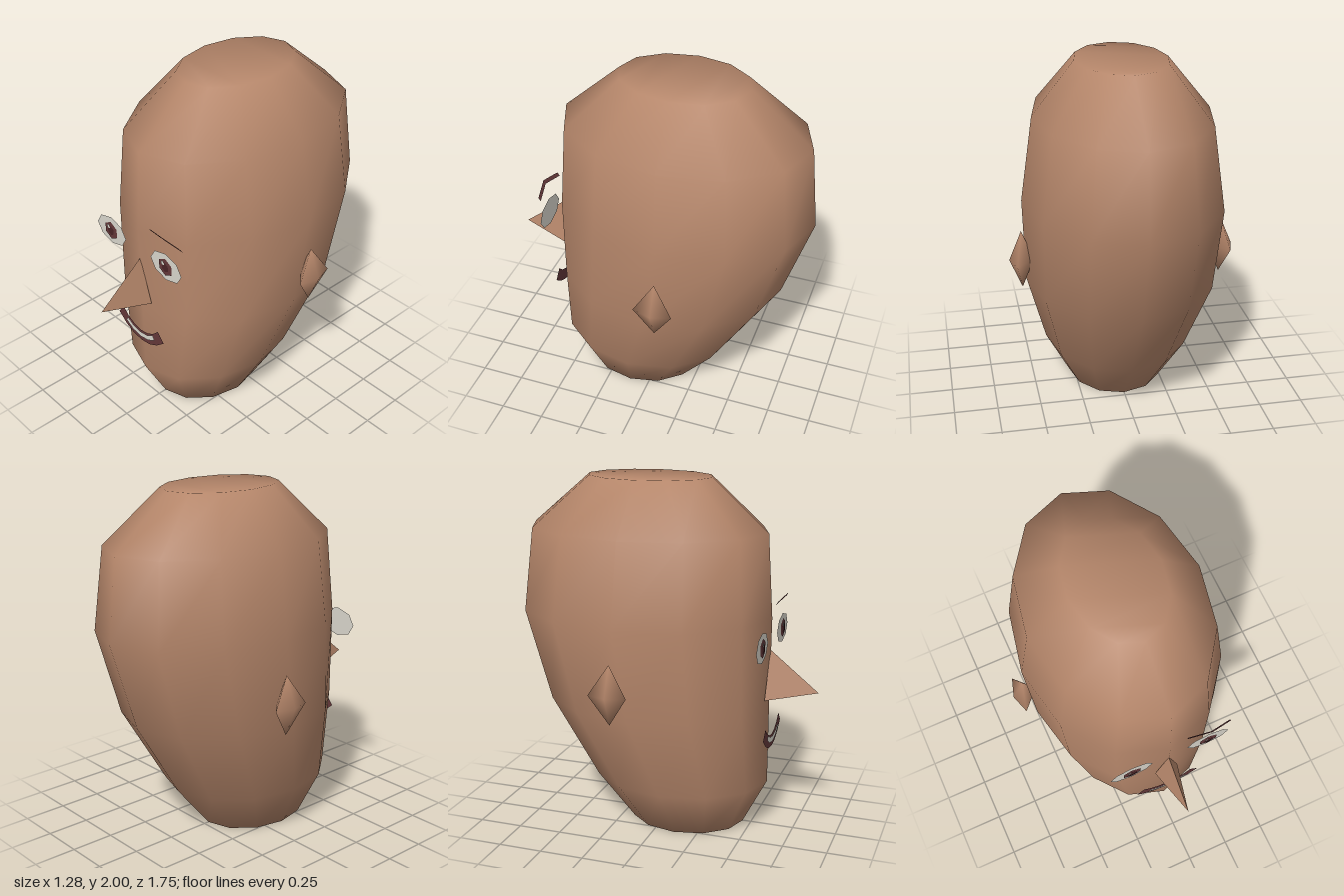
import * as THREE from 'three';

const mat = (name, color, side = THREE.FrontSide) => {
  const m = new THREE.MeshStandardMaterial({ color, side });
  m.name = name;
  return m;
};

function polyhedron(points, indices) {
  const g = new THREE.BufferGeometry();
  g.setAttribute('position', new THREE.Float32BufferAttribute(points.flat(), 3));
  g.setIndex(indices);
  g.computeVertexNormals();
  return g;
}

// Twelve-sided skull lofted through rings, closed with smooth-shaded caps
function headGeometry() {
  const n = 12;
  // y, half width, front z, back z
  const rings = [
    [0, 0.28, 0.45, -0.22],
    [0.27, 0.42, 0.59, -0.44],
    [0.73, 0.54, 0.59, -0.715],
    [1.24, 0.56, 0.595, -0.875],
    [1.71, 0.49, 0.565, -0.825],
    [2, 0.255, 0.245, -0.48],
  ];
  const points = [], index = [];
  for (const [y, rx, front, back] of rings) {
    for (let j = 0; j < n; j++) {
      const a = (j / n) * Math.PI * 2;
      points.push([Math.sin(a) * rx, y, (front + back) / 2 + Math.cos(a) * (front - back) / 2]);
    }
  }
  for (let i = 0; i < rings.length - 1; i++) {
    for (let j = 0; j < n; j++) {
      const a = i * n + j, b = i * n + (j + 1) % n;
      index.push(a, b, b + n, a, b + n, a + n);
    }
  }
  const cap = (start, up) => {
    const tri = (a, b, c) => index.push(start + a, start + (up ? b : c), start + (up ? c : b));
    tri(0, 1, n - 1);
    for (let k = 1; k < n / 2 - 1; k++) {
      tri(k, k + 1, n - k - 1);
      tri(k, n - k - 1, n - k);
    }
    tri(n / 2 - 1, n / 2, n / 2 + 1);
  };
  cap(0, false);
  cap((rings.length - 1) * n, true);
  return polyhedron(points, index);
}

// Thin band between an upper and a lower line of [x, y, z] points
function ribbon(upper, lower) {
  const n = upper.length, index = [];
  for (let i = 0; i < n - 1; i++) {
    index.push(n + i, n + i + 1, i + 1, n + i, i + 1, i);
  }
  return polyhedron([...upper, ...lower], index);
}

// Mirrors a half line, given from the centre outwards, across x = 0
const mirrored = (half, z) => {
  const right = half.map(([x, y]) => [x, y, z]);
  const left = half.slice(1).reverse().map(([x, y]) => [-x, y, z]);
  return [...left, ...right];
};

export function createModel() {
  const root = new THREE.Group();
  root.name = 'head';
  const skin = mat('skin', 0xb5866a);
  const white = mat('white', 0xdcd9cf, THREE.DoubleSide);
  const darkRed = mat('darkRed', 0x65383a, THREE.DoubleSide);
  const pupilRed = mat('pupilRed', 0x4c2528, THREE.DoubleSide);

  const add = (name, geometry, material, parent = root) => {
    const m = new THREE.Mesh(geometry, material);
    m.name = name;
    parent.add(m);
    return m;
  };

  add('skull', headGeometry(), skin);

  // Nose: sharp-edged pyramid
  const nose = polyhedron(
    [[0, 1.06, 0.59], [-0.07, 0.78, 0.58], [0.07, 0.78, 0.58], [0, 0.835, 0.87]],
    [0, 1, 3, 0, 3, 2, 1, 2, 3],
  ).toNonIndexed();
  nose.computeVertexNormals();
  add('nose', nose, skin);

  for (const s of [1, -1]) {
    const side = s > 0 ? 'left' : 'right';

    // Ear: soft-shaded diamond
    const ear = [
      [0.64, 0.89, -0.15], [0.57, 1.06, -0.15], [0.605, 0.89, -0.26],
      [0.57, 0.72, -0.15], [0.605, 0.89, -0.04], [0.5, 0.89, -0.15],
    ].map(([x, y, z]) => [s * x, y, z]);
    const faces = [];
    for (let i = 0; i < 4; i++) {
      const a = 1 + i, b = 1 + (i + 1) % 4;
      if (s > 0) faces.push(0, b, a, 5, a, b);
      else faces.push(0, a, b, 5, b, a);
    }
    add(side + 'Ear', polyhedron(ear, faces), skin);

    // Eye: stacked flat polygons
    const eye = new THREE.Group();
    eye.name = side + 'Eye';
    eye.position.set(s * 0.23, 1.13, 0.6);
    root.add(eye);
    const disc = (name, sides, rx, ry, x, y, z, material) => {
      const g = new THREE.CircleGeometry(1, sides, sides === 6 ? Math.PI / 6 : 0);
      const m = add(name, g.scale(rx, ry, 1), material, eye);
      m.position.set(x, y, z);
    };
    disc('eyeWhite', 8, 0.125, 0.085, 0, 0, 0, white);
    disc('iris', 6, 0.057, 0.055, 0, 0, 0.004, darkRed);
    disc('pupil', 6, 0.028, 0.03, 0, 0, 0.007, pupilRed);
    disc('glint', 6, 0.013, 0.015, -0.015, 0.025, 0.01, white);
  }

  // Single brow over the left eye
  const brow = [[0.1, 1.31, 0.6], [0.23, 1.335, 0.625], [0.355, 1.305, 0.6]];
  add('leftBrow', ribbon(brow, brow.map(([x, y, z]) => [x, y - 0.02, z - 0.012])), darkRed);

  // Smiling mouth with a band of teeth
  add('lips', ribbon(
    mirrored([[0, 0.562], [0.055, 0.572], [0.105, 0.597], [0.15, 0.64]], 0.61),
    mirrored([[0, 0.49], [0.07, 0.5], [0.135, 0.532], [0.197, 0.585]], 0.61),
  ), darkRed);
  add('teeth', ribbon(
    mirrored([[0, 0.553], [0.06, 0.563], [0.11, 0.592]], 0.616),
    mirrored([[0, 0.52], [0.068, 0.532], [0.125, 0.567]], 0.616),
  ), white);

  return root;
}
